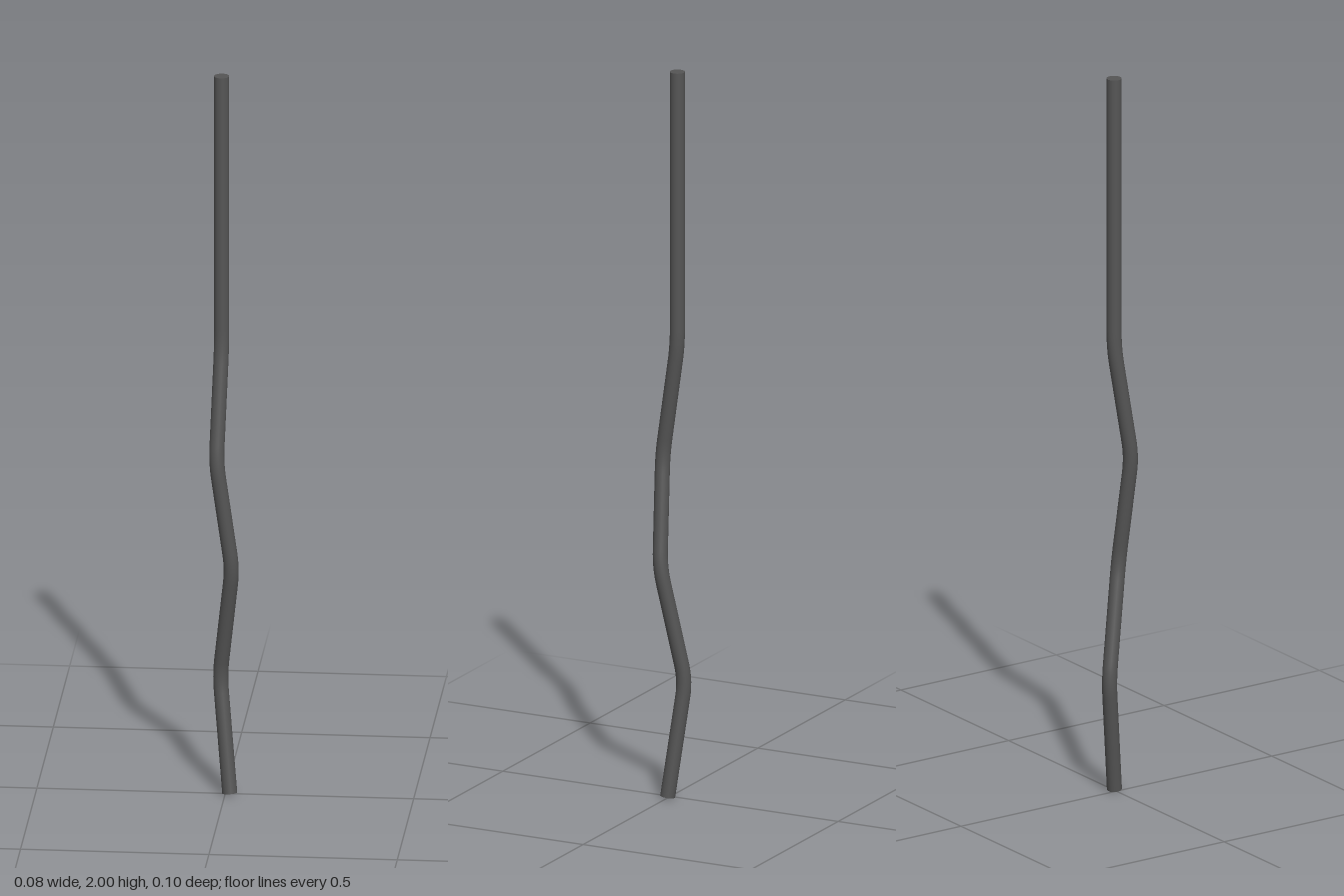
import * as THREE from 'three';

const RADIUS = 0.02;
const SIDES = 24;
const BEND = 0.045; // how far each rounded bend reaches along its straights

// Straight runs joined by small rounded bends
function bentPath(points) {
  const path = new THREE.CurvePath();
  let start = points[0];
  for (let i = 1; i < points.length - 1; i++) {
    const corner = points[i];
    const toward = (p) => corner.clone().add(p.clone().sub(corner).setLength(BEND));
    const a = toward(points[i - 1]);
    const b = toward(points[i + 1]);
    path.add(new THREE.LineCurve3(start, a));
    path.add(new THREE.QuadraticBezierCurve3(a, corner, b));
    start = b;
  }
  path.add(new THREE.LineCurve3(start, points[points.length - 1]));
  return path;
}

// Flat disc closing one end of the rod
function endCap(name, centre, outward, material) {
  const cap = new THREE.Mesh(new THREE.CircleGeometry(RADIUS, SIDES), material);
  cap.name = name;
  cap.position.copy(centre);
  cap.quaternion.setFromUnitVectors(new THREE.Vector3(0, 0, 1), outward);
  return cap;
}

export function createModel() {
  const group = new THREE.Group();
  group.name = 'crookedStick';
  const material = new THREE.MeshStandardMaterial({ color: 0x555555 });

  // Centre line from the foot to the top
  const path = bentPath([
    [0.012, 0.003, 0.002],
    [-0.017, 0.32, -0.035],
    [0.02, 0.635, 0.021],
    [-0.021, 0.935, 0.034],
    [-0.011, 1.245, -0.015],
    [-0.011, 2, -0.015],
  ].map((p) => new THREE.Vector3(...p)));

  // Rod
  const rod = new THREE.Mesh(new THREE.TubeGeometry(path, 140, RADIUS, SIDES, false), material);
  rod.name = 'rod';
  group.add(rod);

  // End caps
  group.add(endCap('bottomCap', path.getPointAt(0), path.getTangentAt(0).negate(), material));
  group.add(endCap('topCap', path.getPointAt(1), path.getTangentAt(1), material));
  return group;
}
